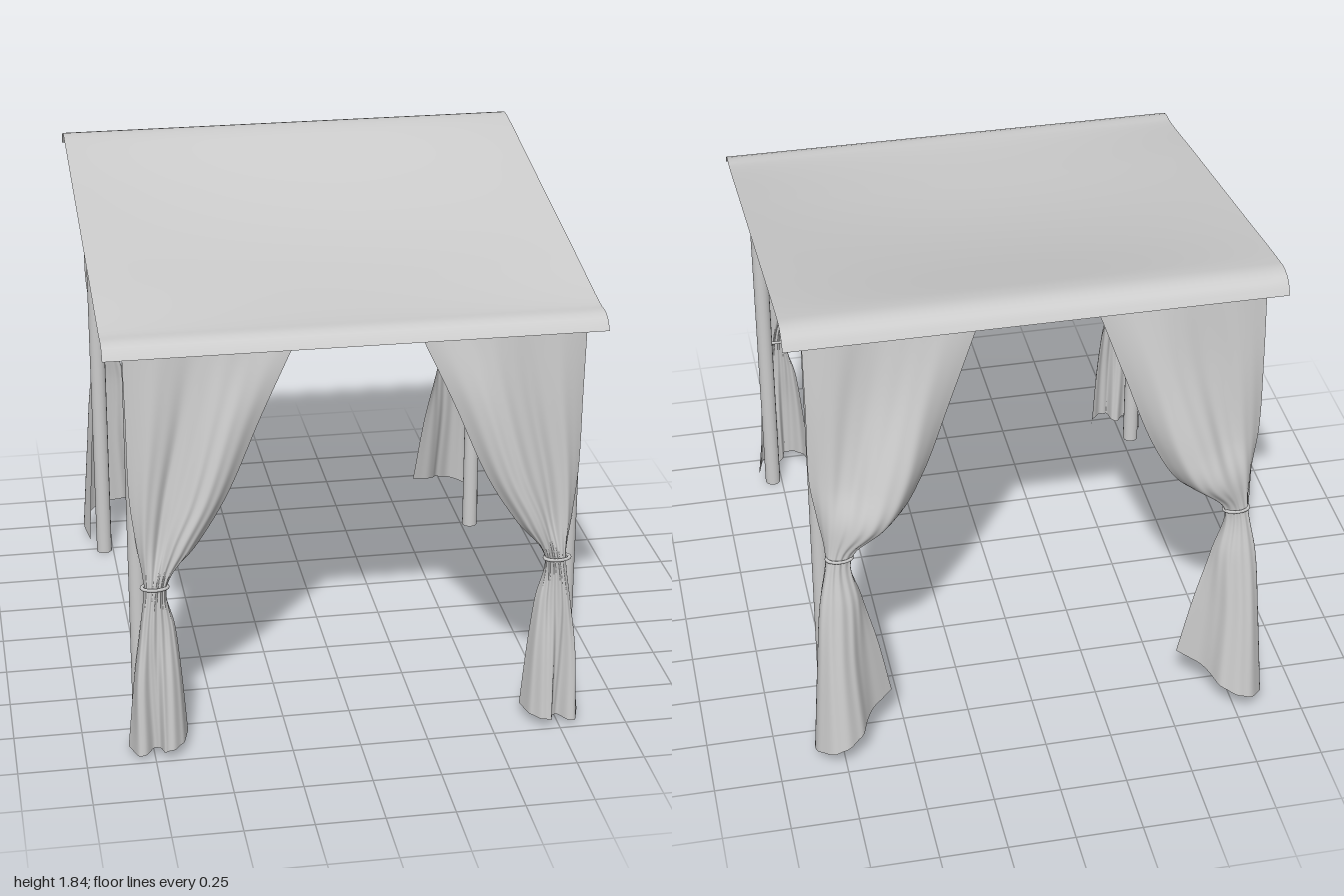
import * as THREE from 'three';

const fabric = new THREE.MeshStandardMaterial({ color: 0xcccccc, side: THREE.DoubleSide });
fabric.name = 'light grey';

// Curtain sections, top to hem: height, rise of the inner edge, then x,z from outer to inner edge.
const FRONT_ROWS = [
  [1.56, 0, [.82, .88, .7, .895, .58, .885, .46, .895, .34, .885, .22, .89]],
  [1.3, 0, [.815, .88, .72, .91, .62, .89, .52, .925, .43, .935, .34, .9]],
  [1.0, 0, [.81, .88, .75, .92, .68, .895, .6, .945, .53, .955, .47, .91]],
  [.82, 0, [.79, .89, .76, .925, .71, .905, .67, .945, .62, .95, .58, .915]],
  [.67, 0, [.77, .9, .76, .93, .735, .94, .71, .94, .69, .93, .69, .905]],
  [.5, 0, [.785, .89, .78, .945, .75, .955, .71, .95, .675, .94, .66, .9]],
  [.3, .01, [.81, .88, .8, .965, .75, .95, .71, .975, .66, .95, .64, .89]],
  [.01, .04, [.84, .89, .8, .985, .74, .94, .71, .995, .65, .96, .62, .88]],
];
const REAR_ROWS = [
  [1.81, 0, [.82, -.77, .7, -.79, .58, -.78, .46, -.79, .33, -.785, .2, -.78]],
  [1.5, 0, [.82, -.79, .74, -.81, .63, -.8, .52, -.83, .42, -.845, .31, -.8]],
  [1.2, 0, [.82, -.79, .76, -.83, .68, -.84, .6, -.89, .5, -.9, .42, -.82]],
  [1.05, 0, [.8, -.8, .77, -.85, .71, -.88, .64, -.92, .57, -.91, .51, -.84]],
  [.9, 0, [.78, -.83, .775, -.86, .75, -.875, .72, -.875, .69, -.865, .69, -.84]],
  [.7, 0, [.8, -.81, .81, -.88, .77, -.91, .71, -.9, .67, -.87, .655, -.83]],
  [.42, .05, [.82, -.8, .83, -.9, .78, -.95, .71, -.93, .66, -.87, .6, -.82]],
  [.02, .18, [.84, -.8, .855, -.92, .78, -.995, .69, -.96, .64, -.87, .55, -.8]],
];

// Lofts the sections into a draped sheet; side is +1 or -1
function curtainGeometry(rows, side, pleat) {
  const nu = 56, nv = 48;
  const sections = rows.map(([y, rise, p]) => {
    const pts = [];
    for (let i = 0; i < p.length; i += 2) {
      pts.push(new THREE.Vector3(p[i], y + rise * i / (p.length - 2), p[i + 1]));
    }
    return new THREE.CatmullRomCurve3(pts);
  });
  const geo = new THREE.PlaneGeometry(1, 1, nu, nv);
  const pos = geo.attributes.position;
  for (let i = 0; i <= nu; i++) {
    const u = i / nu;
    const column = new THREE.CatmullRomCurve3(sections.map((s) => s.getPoint(u)));
    for (let j = 0; j <= nv; j++) {
      const v = j / nv, q = column.getPoint(v);
      // small pleats that fade in below the rail
      const fold = pleat * Math.min(1, v * 4) * Math.sin(u * Math.PI * 14 + v * 2);
      pos.setXYZ(j * (nu + 1) + i, side * q.x, q.y, q.z + fold * Math.sin(Math.PI * u));
    }
  }
  geo.computeVertexNormals();
  return geo;
}

// Two posts joined by a rail with rounded corners
function frame(name, z, top) {
  const group = new THREE.Group();
  group.name = name;
  const x = .787, r = .031, c = .06, y = top - r;
  const path = new THREE.CurvePath();
  const V = (a, b) => new THREE.Vector3(a, b, z);
  path.add(new THREE.LineCurve3(V(-x, y - c), V(-x, y - c + .001)));
  path.add(new THREE.QuadraticBezierCurve3(V(-x, y - c), V(-x, y), V(-x + c, y)));
  path.add(new THREE.LineCurve3(V(-x + c, y), V(x - c, y)));
  path.add(new THREE.QuadraticBezierCurve3(V(x - c, y), V(x, y), V(x, y - c)));
  const rail = new THREE.Mesh(new THREE.TubeGeometry(path, 120, r, 16), fabric);
  rail.name = 'topRail';
  group.add(rail);
  for (const s of [-1, 1]) {
    const post = new THREE.Mesh(new THREE.CylinderGeometry(r, r, y - c, 16), fabric);
    post.name = 'post';
    post.position.set(s * x, (y - c) / 2, z);
    group.add(post);
  }
  return group;
}

// Sloping canopy: straight side edges, sagging middle, lips over both rails
function canopy() {
  const w = .89, nu = 24, nv = 72;
  const profile = [[.918, 1.54], [.892, 1.575], [.85, 1.59], [.8, 1.59], [.43, 1.651], [.07, 1.71],
    [-.3, 1.771], [-.66, 1.83], [-.735, 1.837], [-.785, 1.82], [-.815, 1.775]];
  const curve = new THREE.CatmullRomCurve3(profile.map(([z, y]) => new THREE.Vector3(0, y, z)));
  const geo = new THREE.PlaneGeometry(2 * w, 1, nu, nv);
  const pos = geo.attributes.position;
  for (let j = 0; j <= nv; j++) {
    const p = curve.getPointAt(1 - j / nv);
    const t = THREE.MathUtils.clamp((.8 - p.z) / 1.46, 0, 1);
    for (let i = 0; i <= nu; i++) {
      const k = j * (nu + 1) + i, x = pos.getX(k);
      const sag = .055 * Math.sin(Math.PI * t) * (1 - (x / w) ** 2);
      pos.setXYZ(k, x, p.y - sag, p.z);
    }
  }
  geo.computeVertexNormals();
  const mesh = new THREE.Mesh(geo, fabric);
  mesh.name = 'canopy';
  return mesh;
}

export function createModel() {
  const model = new THREE.Group();
  model.name = 'curtainedCanopy';
  model.add(canopy(), frame('frontFrame', .845, 1.58), frame('rearFrame', -.735, 1.83));

  const sets = [
    ['front', FRONT_ROWS, .005, .67, .922],
    ['rear', REAR_ROWS, .003, .9, -.855],
  ];
  for (const [place, rows, pleat, tieY, tieZ] of sets) {
    for (const side of [-1, 1]) {
      const curtain = new THREE.Mesh(curtainGeometry(rows, side, pleat), fabric);
      curtain.name = place + (side > 0 ? 'LeftCurtain' : 'RightCurtain');
      // cord gathering the cloth
      const tie = new THREE.Mesh(new THREE.TorusGeometry(.046, .007, 8, 28), fabric);
      tie.name = place + 'Tie';
      tie.rotation.x = Math.PI / 2;
      tie.scale.y = .6;
      tie.position.set(side * .732, tieY, tieZ);
      model.add(curtain, tie);
    }
  }
  return model;
}
